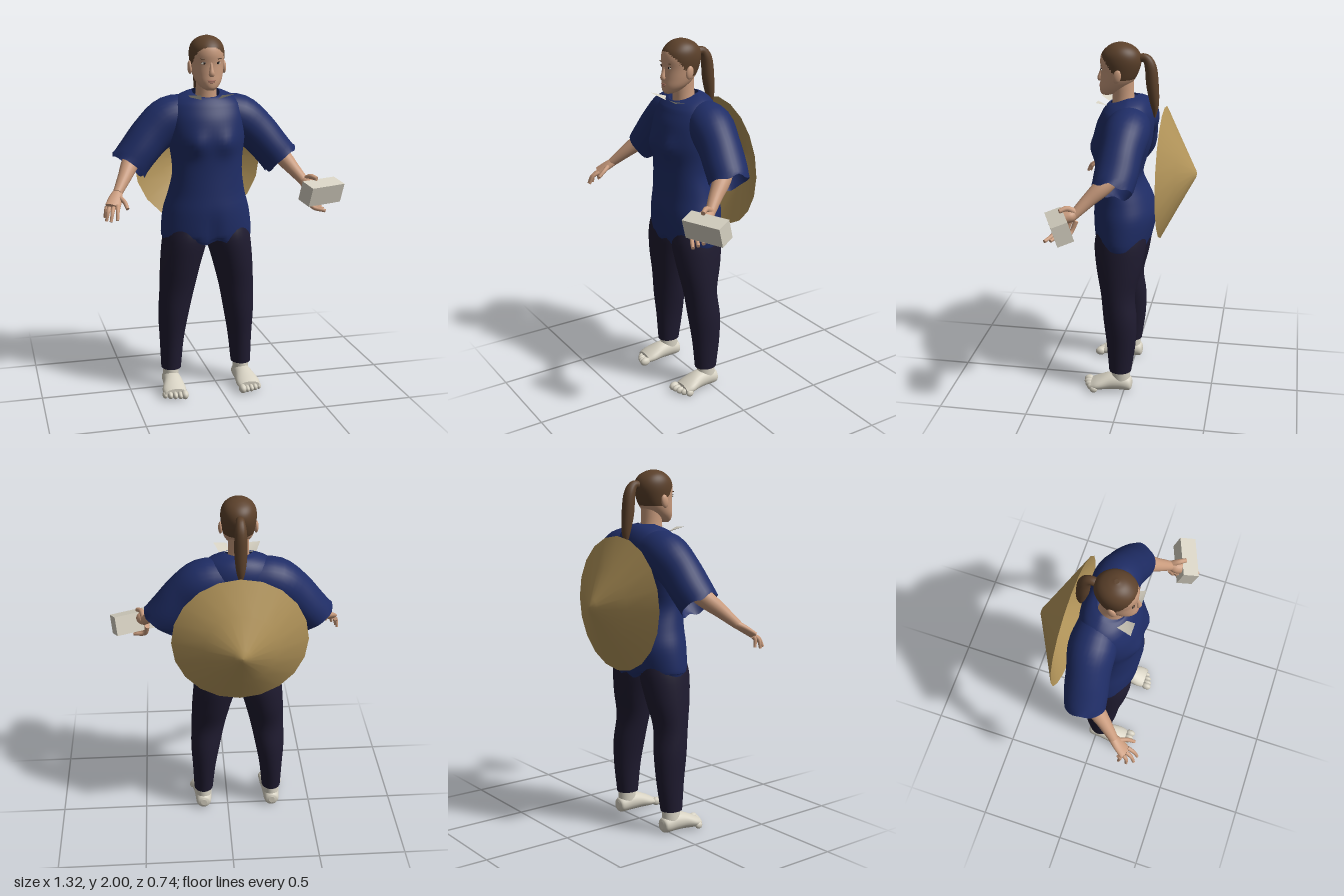
import * as THREE from 'three';

const CX = -0.06; // body midline
const V3 = (x, y, z) => new THREE.Vector3(x, y, z);
const mat = (name, color, side = THREE.FrontSide) => {
  const m = new THREE.MeshStandardMaterial({ color, side });
  m.name = name;
  return m;
};

// Smooth skin over elliptical sections [x, y, z, a, b]; a fixed axis keeps every ring parallel
function loft(sections, { axis, ref = V3(0, 0, 1), seg = 24, steps = 4, capStart, capEnd, warp } = {}) {
  const mid = new THREE.CatmullRomCurve3(sections.map(s => V3(s[0], s[1], s[2])), false, 'catmullrom');
  const rad = new THREE.CatmullRomCurve3(sections.map(s => V3(s[3], s[4] ?? s[3], 0)), false, 'catmullrom');
  const n = (sections.length - 1) * steps, pos = [], idx = [];
  for (let i = 0; i <= n; i++) {
    const t = i / n, c = mid.getPoint(t), r = rad.getPoint(t);
    const T = axis ? axis.clone() : mid.getTangent(t);
    const U = T.clone().cross(ref).normalize(), W = T.clone().cross(U);
    for (let j = 0; j < seg; j++) {
      const q = (j / seg) * Math.PI * 2;
      const p = c.clone().addScaledVector(U, r.x * Math.cos(q)).addScaledVector(W, r.y * Math.sin(q));
      if (warp) warp(p, t);
      pos.push(p.x, p.y, p.z);
    }
  }
  for (let i = 0; i < n; i++) for (let j = 0; j < seg; j++) {
    const a = i * seg + j, b = i * seg + (j + 1) % seg;
    idx.push(a, b, b + seg, a, b + seg, a + seg);
  }
  const cap = (ring, flip) => {
    const base = pos.length / 3, c = V3(0, 0, 0);
    for (let j = 0; j < seg; j++) {
      const k = (ring * seg + j) * 3;
      pos.push(pos[k], pos[k + 1], pos[k + 2]);
      c.add(V3(pos[k], pos[k + 1], pos[k + 2]).divideScalar(seg));
    }
    pos.push(c.x, c.y, c.z);
    for (let j = 0; j < seg; j++) {
      const a = base + j, b = base + (j + 1) % seg;
      idx.push(...(flip ? [b, a, base + seg] : [a, b, base + seg]));
    }
  };
  if (capStart) cap(0, true);
  if (capEnd) cap(n, false);
  const g = new THREE.BufferGeometry();
  g.setAttribute('position', new THREE.Float32BufferAttribute(pos, 3));
  g.setIndex(idx);
  g.computeVertexNormals();
  return g;
}

export function createModel() {
  const root = new THREE.Group();
  const skin = mat('skin', 0xc99b7d), hair = mat('hair', 0x5c412b), dark = mat('eye dark', 0x2a1d18);
  const lip = mat('lips', 0xa8705f), cream = mat('off white', 0xd6d1c2, THREE.DoubleSide);
  const blue = mat('tunic blue', 0x1f2d66, THREE.DoubleSide), navy = mat('trouser navy', 0x1f1b30);
  const straw = mat('straw', 0xb3955a, THREE.DoubleSide);
  const add = (name, geo, material, parent = root) => {
    const m = new THREE.Mesh(geo, material);
    m.name = name;
    parent.add(m);
    return m;
  };
  const ball = (name, material, x, y, z, sx, sy, sz, parent) => {
    const m = add(name, new THREE.SphereGeometry(1, 16, 12), material, parent);
    m.position.set(x, y, z);
    m.scale.set(sx, sy, sz);
    return m;
  };
  const up = V3(0, 1, 0);
  const rounded = { capStart: true, capEnd: true };
  // Stacked ring from height, half width, front z and back z
  const ring = ([y, w, f, b]) => [CX, y, (f + b) / 2, w, (f - b) / 2];

  // Head: hair and face are two groups of one skin, split along the hairline
  const head = loft([
    [1.715, 0.022, 0.152, 0.1], [1.73, 0.045, 0.162, 0.06], [1.76, 0.068, 0.164, 0.015],
    [1.8, 0.082, 0.16, -0.025], [1.85, 0.09, 0.157, -0.05], [1.9, 0.095, 0.161, -0.062],
    [1.94, 0.09, 0.152, -0.055], [1.97, 0.073, 0.127, -0.032], [1.99, 0.045, 0.097, 0.003],
    [2.0, 0.012, 0.062, 0.038]].map(ring), { axis: up, seg: 56, steps: 6, ...rounded });
  const P = head.attributes.position, I = head.index.array, face = [], scalp = [];
  for (let k = 0; k < I.length; k += 3) {
    const tri = [I[k], I[k + 1], I[k + 2]];
    const y = tri.reduce((s, v) => s + P.getY(v) / 3, 0), z = tri.reduce((s, v) => s + P.getZ(v) / 3, 0);
    const line = 1.81 + 0.13 * THREE.MathUtils.clamp((z - 0.05) / 0.1, 0, 1);
    (y > line ? scalp : face).push(...tri);
  }
  head.setIndex([...face, ...scalp]);
  head.addGroup(0, face.length, 0);
  head.addGroup(face.length, scalp.length, 1);
  add('head', head, [skin, hair]);
  add('neck', loft([[CX, 1.63, 0.025, 0.068, 0.07], [CX, 1.7, 0.035, 0.056, 0.06],
    [CX, 1.8, 0.04, 0.056, 0.06]], { axis: up }), skin);

  // Face details
  add('nose', loft([[CX, 1.865, 0.148, 0.008, 0.008], [CX, 1.83, 0.157, 0.01, 0.012],
    [CX, 1.802, 0.162, 0.016, 0.016], [CX, 1.79, 0.157, 0.012, 0.008]], { seg: 16, ...rounded }), skin);
  ball('upperLip', lip, CX, 1.767, 0.16, 0.023, 0.005, 0.007);
  ball('lowerLip', lip, CX, 1.758, 0.159, 0.019, 0.006, 0.007);
  for (const s of [-1, 1]) {
    ball('eyeWhite', cream, CX + s * 0.037, 1.857, 0.146, 0.016, 0.006, 0.005);
    ball('iris', dark, CX + s * 0.036, 1.858, 0.149, 0.007, 0.006, 0.004);
    ball('eyelid', dark, CX + s * 0.037, 1.863, 0.147, 0.017, 0.002, 0.005);
    ball('eyebrow', hair, CX + s * 0.039, 1.88, 0.148, 0.02, 0.003, 0.004).rotation.z = s * 0.1;
    ball('ear', skin, CX + s * 0.094, 1.832, 0.055, 0.012, 0.036, 0.022).rotation.x = -0.2;
  }

  // Ponytail
  add('ponytail', loft([[CX, 1.915, -0.04, 0.022], [CX, 1.918, -0.085, 0.024], [CX, 1.87, -0.112, 0.032],
    [CX, 1.77, -0.123, 0.034], [CX, 1.67, -0.135, 0.024], [CX, 1.595, -0.137, 0.005]],
    { ref: V3(1, 0, 0), seg: 16, steps: 6, ...rounded }), hair);

  // Tunic body: soft bust, dipped neckline and uneven hem
  add('tunic', loft([
    [0.885, 0.248, 0.178, -0.115], [0.93, 0.256, 0.193, -0.132], [1.05, 0.243, 0.2, -0.152],
    [1.15, 0.215, 0.194, -0.125], [1.26, 0.195, 0.19, -0.075], [1.35, 0.198, 0.192, -0.09],
    [1.45, 0.212, 0.2, -0.12], [1.55, 0.215, 0.183, -0.132], [1.62, 0.205, 0.152, -0.128],
    [1.67, 0.165, 0.128, -0.108], [1.7, 0.11, 0.112, -0.078], [1.712, 0.076, 0.105, -0.045]].map(ring),
    { axis: up, seg: 56, steps: 4, capStart: true, warp: (p, t) => {
      const x = p.x - CX;
      if (p.z > 0.08) {
        p.z += 0.02 * Math.exp(-(((Math.abs(x) - 0.085) / 0.05) ** 2) - (((p.y - 1.43) / 0.06) ** 2));
        p.z -= 0.015 * Math.exp(-((x / 0.04) ** 2) - (((p.y - 0.93) / 0.1) ** 2));
      }
      if (t > 0.75) p.y -= 0.3 * (t - 0.75) * Math.max(0, p.z) / 0.2;
      if (t < 0.05) p.y += 0.012 * Math.sin(x * 45);
    } }), blue);

  // Collar flaps and the mirrored limbs
  for (const s of [-1, 1]) {
    const side = s > 0 ? 'left' : 'right', X = d => CX + s * d;
    const flap = new THREE.BufferGeometry();
    flap.setAttribute('position', new THREE.Float32BufferAttribute([X(0.045), 1.662, 0.115,
      X(0.055), 1.69, 0.165, X(0.127), 1.695, 0.165, X(0.097), 1.672, 0.08], 3));
    flap.setIndex(s > 0 ? [0, 1, 2, 0, 2, 3] : [0, 2, 1, 0, 3, 2]);
    flap.computeVertexNormals();
    add(side + 'CollarFlap', flap, cream);

    add(side + 'Sleeve', loft([[X(0.07), 1.565, -0.015, 0.115, 0.11], [X(0.19), 1.55, -0.012, 0.125, 0.125],
      [X(0.29), 1.475, 0, 0.115, 0.115], [X(0.37), 1.385, 0.012, 0.107, 0.115],
      [X(0.43), 1.31, 0.025, 0.106, 0.108]], { seg: 32, warp: (p, t) => {
      if (t > 0.95) p.y += 0.01 * Math.sin(p.z * 60);
    } }), blue);
    add(side + 'Forearm', loft([[X(0.34), 1.43, -0.02, 0.05], [X(0.42), 1.34, 0.065, 0.049],
      [X(0.47), 1.27, 0.14, 0.037], [X(0.52), 1.2, 0.21, 0.025]], { ...rounded }), skin);

    add(side + 'TrouserLeg', loft([[X(0.115), 0.99, 0.03, 0.11, 0.13], [X(0.124), 0.89, 0.034, 0.125, 0.145],
      [X(0.15), 0.75, 0.037, 0.113, 0.127], [X(0.172), 0.6, 0.04, 0.098, 0.096],
      [X(0.19), 0.45, 0.025, 0.085, 0.095], [X(0.2), 0.3, 0.018, 0.068, 0.083],
      [X(0.206), 0.13, 0.023, 0.056, 0.064]], { axis: V3(0, -1, 0), seg: 32, capEnd: true }), navy);

    // Foot with five toes
    const foot = new THREE.Group();
    foot.name = side + 'Foot';
    root.add(foot);
    add('ankle', loft([[X(0.206), 0.16, 0.02, 0.042, 0.05], [X(0.207), 0.1, 0.02, 0.044, 0.054],
      [X(0.208), 0.04, 0.02, 0.046, 0.056]], { axis: V3(0, -1, 0), ...rounded }), cream, foot);
    add('instep', loft([[X(0.208), 0.05, -0.046, 0.018, 0.022], [X(0.208), 0.049, -0.032, 0.042, 0.042],
      [X(0.208), 0.058, 0.03, 0.05, 0.052], [X(0.21), 0.055, 0.09, 0.056, 0.049],
      [X(0.215), 0.042, 0.15, 0.067, 0.037], [X(0.215), 0.033, 0.19, 0.06, 0.026]],
      { axis: V3(0, 0, 1), ref: up, ...rounded }), cream, foot);
    for (let i = 0; i < 5; i++)
      ball('toe', cream, X(0.168 + i * 0.026), 0.03 - i * 0.002, 0.212 - i * i * 0.0026,
        i ? 0.015 : 0.021, i ? 0.02 : 0.025, 0.031 - i * 0.002, foot);
  }

  // Fingers share one tapered tube
  const finger = (parent, pts, r = 0.012) => add('finger',
    loft(pts.map((p, i) => [...p, r * (1 - 0.17 * i)]), { seg: 10, ref: V3(0.3, 1, 0.2).normalize(), ...rounded }), skin, parent);

  // Open right hand
  const openHand = new THREE.Group();
  openHand.name = 'rightHand';
  root.add(openHand);
  add('palm', loft([[-0.575, 1.205, 0.2, 0.025, 0.022], [-0.595, 1.178, 0.24, 0.036, 0.02],
    [-0.618, 1.145, 0.285, 0.04, 0.016]], { ref: V3(0.3, 1, 0).normalize(), ...rounded }), skin, openHand);
  [[-0.645, 1.14, 0.26, -0.657, 1.085, 0.262], [-0.635, 1.14, 0.28, -0.655, 1.075, 0.305],
    [-0.615, 1.14, 0.29, -0.636, 1.078, 0.34], [-0.592, 1.148, 0.29, -0.604, 1.085, 0.35]].forEach(([x, y, z, u, v, w]) =>
    finger(openHand, [[x, y, z], [(x + u) / 2, (y + v) / 2 + 0.012, (z + w) / 2 + 0.008], [u, v, w]]));
  finger(openHand, [[-0.58, 1.185, 0.23], [-0.555, 1.165, 0.275], [-0.545, 1.135, 0.315]], 0.014);

  // Gripping left hand around the block
  const grip = new THREE.Group();
  grip.name = 'leftHand';
  root.add(grip);
  add('palm', loft([[0.455, 1.21, 0.2, 0.026, 0.026], [0.462, 1.2, 0.225, 0.038, 0.034],
    [0.475, 1.19, 0.265, 0.038, 0.036]], { ref: up, ...rounded }), skin, grip);
  finger(grip, [[0.46, 1.22, 0.2], [0.475, 1.243, 0.24], [0.5, 1.235, 0.275]], 0.018);
  for (let i = 0; i < 4; i++)
    finger(grip, [[0.445, 1.165, 0.2 + i * 0.03], [0.46, 1.105 - i * 0.004, 0.225 + i * 0.03],
      [0.525, 1.085 - i * 0.004, 0.255 + i * 0.032]], 0.014);

  // Held block
  const block = add('heldBlock', new THREE.BoxGeometry(0.228, 0.11, 0.09), cream);
  block.position.set(0.53, 1.162, 0.27);
  block.rotation.set(0.3, 0.378, 0, 'YXZ');

  // Conical straw hat hung behind the back
  const profile = [[0.367, 0], [0.2, 0.086], [0.045, 0.167], [0.02, 0.181], [0, 0.185]];
  const hat = add('strawHat', new THREE.LatheGeometry(profile.map(p => new THREE.Vector2(...p)), 20), straw);
  hat.rotation.x = -Math.PI / 2;
  hat.position.set(-0.055, 1.285, -0.19);

  return root;
}
